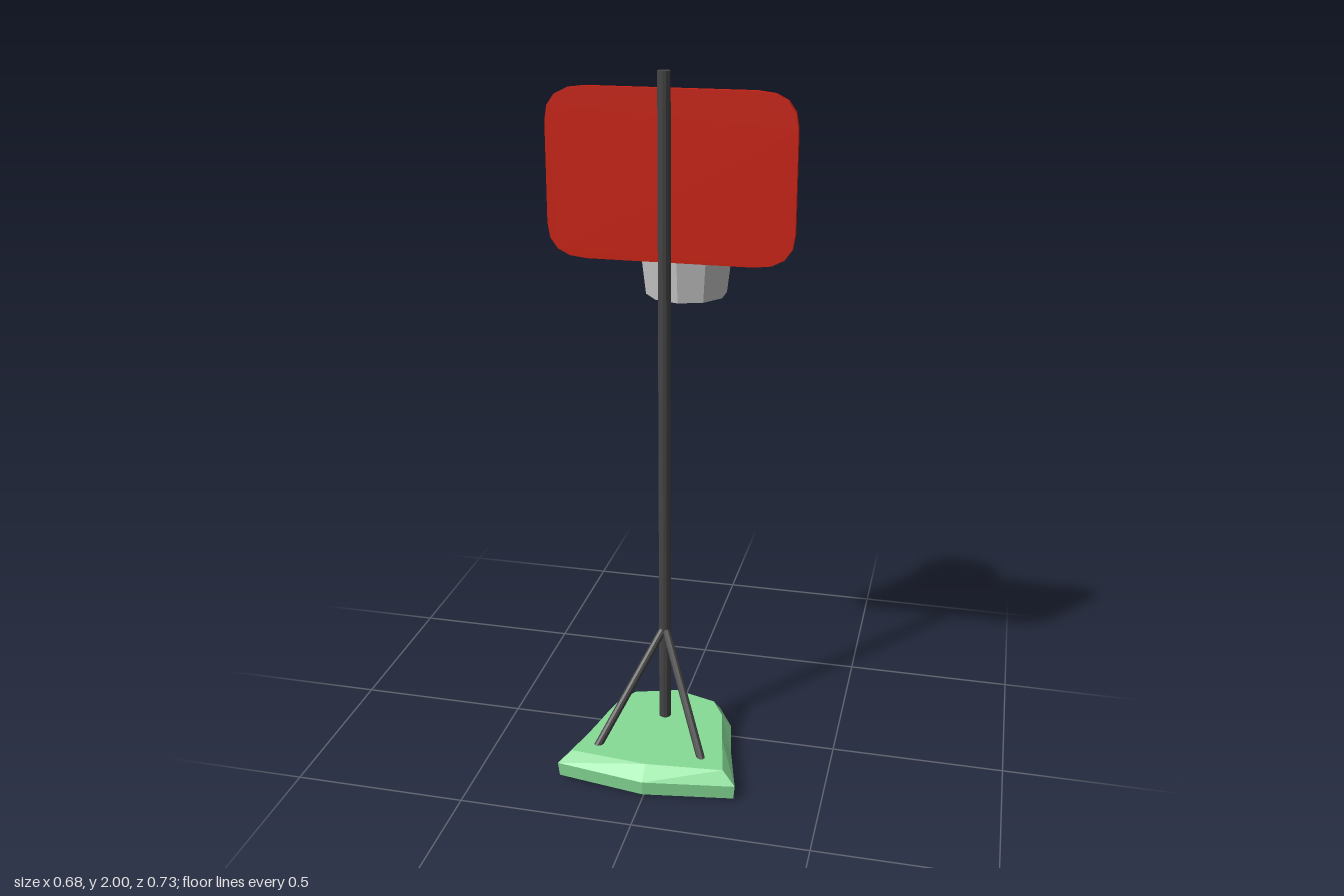
import * as THREE from 'three';

const CX = -0.005; // the hoop assembly sits slightly off centre

function mat(name, color, extra = {}) {
  return new THREE.MeshStandardMaterial({ name, color, flatShading: true, ...extra });
}

export function createModel() {
  const group = new THREE.Group();
  const poleGrey = mat('poleGrey', 0x444444);
  const rimGrey = mat('rimGrey', 0x5f5e60);
  const red = mat('red', 0xca2110);
  const lightGrey = mat('lightGrey', 0xcacaca, { side: THREE.DoubleSide });
  const green = mat('green', 0x86dc96);

  function add(name, geometry, material, x = 0, y = 0, z = 0) {
    const mesh = new THREE.Mesh(geometry, material);
    mesh.name = name;
    mesh.position.set(x, y, z);
    group.add(mesh);
    return mesh;
  }

  // Straight round bar between two points
  function bar(name, a, b, radius, material) {
    const dir = b.clone().sub(a);
    const mesh = add(name, new THREE.CylinderGeometry(radius, radius, dir.length(), 10), material);
    mesh.position.copy(a).addScaledVector(dir, 0.5);
    mesh.quaternion.setFromUnitVectors(new THREE.Vector3(0, 1, 0), dir.normalize());
  }

  // Rounded panel, extruded along z
  function panel(w, h, r, depth) {
    const x = w / 2, y = h / 2;
    const s = new THREE.Shape();
    s.moveTo(-x + r, -y);
    s.lineTo(x - r, -y);
    s.quadraticCurveTo(x, -y, x, -y + r * 0.85);
    s.lineTo(x, y - r * 0.85);
    s.quadraticCurveTo(x, y, x - r, y);
    s.lineTo(-x + r, y);
    s.quadraticCurveTo(-x, y, -x, y - r * 0.85);
    s.lineTo(-x, -y + r * 0.85);
    s.quadraticCurveTo(-x, -y, -x + r, -y);
    return new THREE.ExtrudeGeometry(s, { depth, bevelEnabled: false, curveSegments: 4 });
  }

  // Base: stacked outlines, mirrored from the +x half (front middle to back middle)
  function outline(half) {
    const mirrored = half.slice(1, -1).reverse().map(([x, z]) => [-x, z]);
    return [...half, ...mirrored];
  }
  const outer = outline([[0, 0.365], [0.262, 0.325], [0.216, 0.145], [0.192, 0.018], [0.143, -0.07], [0, -0.11]]);
  const inner = outline([[0, 0.325], [0.223, 0.305], [0.189, 0.145], [0.163, 0.018], [0.125, -0.05], [0, -0.09]]);
  const layers = [[outer, 0.01, 0.985], [outer, 0.052, 1], [inner, 0.088, 1]];
  const n = outer.length;
  const zMid = 0.13;
  const pos = [], idx = [];
  for (const [ring, y, k] of layers) {
    for (const [x, z] of ring) pos.push(x * k - 0.003, y, zMid + (z - zMid) * k);
  }
  pos.push(0, 0.01, zMid, 0, 0.088, zMid);
  const low = n * layers.length, high = low + 1, lastRing = n * (layers.length - 1);
  for (let i = 0; i < n; i++) {
    const j = (i + 1) % n;
    for (let l = 0; l < layers.length - 1; l++) {
      const a = l * n, b = a + n;
      idx.push(a + i, a + j, b + j, a + i, b + j, b + i);
    }
    idx.push(low, j, i, high, lastRing + i, lastRing + j);
  }
  let baseGeo = new THREE.BufferGeometry();
  baseGeo.setAttribute('position', new THREE.Float32BufferAttribute(pos, 3));
  baseGeo.setIndex(idx);
  baseGeo = baseGeo.toNonIndexed();
  baseGeo.computeVertexNormals();
  add('base', baseGeo, green);

  // Pole and its two slanted braces
  add('pole', new THREE.CylinderGeometry(0.018, 0.018, 1.995, 12), poleGrey, -0.008, 1.0025, 0.055);
  for (const s of [-1, 1]) {
    bar('brace', new THREE.Vector3(-0.008, 0.39, 0.055),
      new THREE.Vector3(-0.008 + s * 0.158, 0.075, 0.261), 0.012, poleGrey);
  }

  // Backboard with pale face and traces of the target outline
  add('backboard', panel(0.684, 0.464, 0.11, 0.017), red, 0, 1.72, 0.015);
  add('backboardFace', panel(0.644, 0.424, 0.1, 0.003), lightGrey, 0, 1.72, 0.013);
  add('targetLine', new THREE.BoxGeometry(0.007, 0.2, 0.002), red, 0.15, 1.73, 0.0125);
  for (const y of [1.63, 1.83]) {
    add('targetCorner', new THREE.BoxGeometry(0.016, 0.006, 0.002), red, 0.144, y, 0.0125);
  }
  add('targetMark', new THREE.BoxGeometry(0.007, 0.03, 0.002), red, -0.14, 1.655, 0.0125);

  // Rim and net
  const rim = new THREE.TorusGeometry(0.146, 0.013, 6, 14);
  rim.rotateX(Math.PI / 2);
  add('rim', rim, rimGrey, CX, 1.598, -0.21);
  add('net', new THREE.CylinderGeometry(0.148, 0.118, 0.26, 10, 1, true), lightGrey, CX, 1.47, -0.21);

  // Bracket plate and curved supports under the rim
  add('bracket', new THREE.BoxGeometry(0.038, 0.008, 0.079), rimGrey, -0.009, 1.601, -0.0245);
  for (const s of [-1, 1]) {
    const curve = new THREE.QuadraticBezierCurve3(
      new THREE.Vector3(CX + s * 0.04, 1.528, 0.016),
      new THREE.Vector3(CX + s * 0.055, 1.535, -0.03),
      new THREE.Vector3(CX + s * 0.083, 1.594, -0.082));
    add('rimSupport', new THREE.TubeGeometry(curve, 6, 0.006, 6), poleGrey);
  }

  return group;
}
